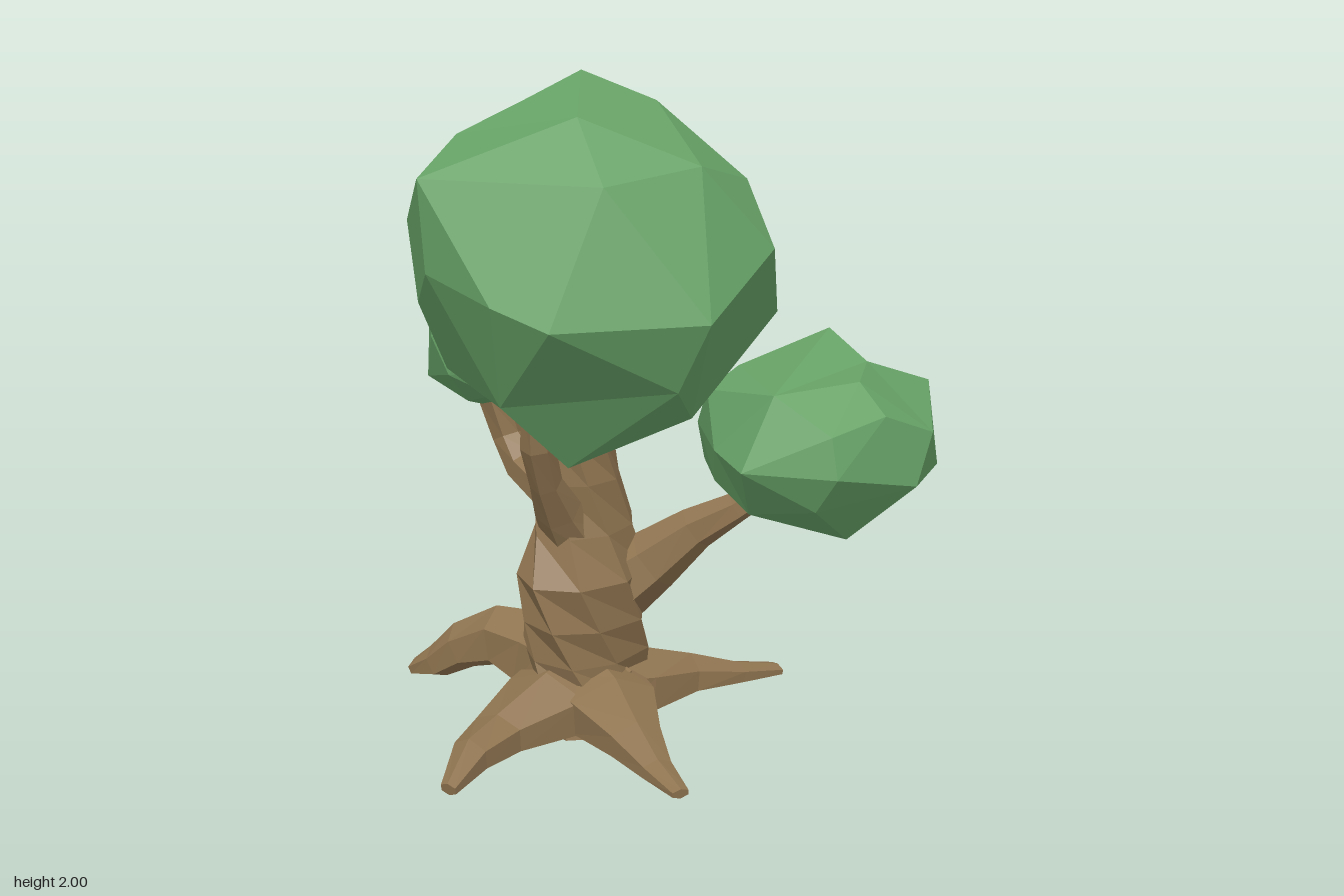
import * as THREE from 'three';
import { ConvexGeometry } from 'three/addons/geometries/ConvexGeometry.js';

const bark = new THREE.MeshStandardMaterial({ color: 0x8f7450, flatShading: true });
const leaf = new THREE.MeshStandardMaterial({ color: 0x67a267, flatShading: true });

function seeded(seed) {
  let s = seed * 7919 + 17;
  return () => (s = (s * 16807) % 2147483647) / 2147483647;
}

// Faceted limb through stations [x, y, z, half width, half height]
function limb(name, stations, sides, twist, rough, seed) {
  const rnd = seeded(seed);
  const centres = stations.map(([x, y, z]) => new THREE.Vector3(x, y, z));
  const last = centres.length - 1;
  const side = centres[last].clone().sub(centres[0]);
  if (Math.hypot(side.x, side.z) < 0.2) side.set(1, 0, 0);
  else side.cross(new THREE.Vector3(0, 1, 0)).normalize();
  const pos = [], index = [];
  centres.forEach((c, i) => {
    const t = centres[Math.min(i + 1, last)].clone().sub(centres[Math.max(i - 1, 0)]).normalize();
    const n = side.clone().cross(t).normalize();
    const [, , , w, h] = stations[i];
    for (let j = 0; j < sides; j++) {
      const a = ((j + 0.5) / sides) * Math.PI * 2 + i * twist;
      const k = 1 + (rnd() - 0.5) * 2 * rough;
      const p = c.clone().addScaledVector(side, Math.cos(a) * w * k).addScaledVector(n, Math.sin(a) * h * k);
      pos.push(p.x, Math.max(p.y, 0.005), p.z);
    }
  });
  for (let i = 0; i < last; i++) {
    for (let j = 0; j < sides; j++) {
      const a = i * sides + j, b = i * sides + ((j + 1) % sides);
      index.push(a, b + sides, b, a, a + sides, b + sides);
    }
  }
  // End caps
  const end = last * sides;
  for (let j = 1; j < sides - 1; j++) index.push(0, j, j + 1, end, end + j + 1, end + j);
  const g = new THREE.BufferGeometry();
  g.setAttribute('position', new THREE.Float32BufferAttribute(pos, 3));
  g.setIndex(index);
  g.computeVertexNormals();
  const mesh = new THREE.Mesh(g, bark);
  mesh.name = name;
  return mesh;
}

// Faceted ball of leaves: set corners, with uneven filler points spread between them
function crown(name, centre, radii, corners, count, rough, seed) {
  const rnd = seeded(seed);
  const c = new THREE.Vector3(...centre), r = new THREE.Vector3(...radii);
  const knots = corners.map((p) => {
    const v = new THREE.Vector3(...p).sub(c).divide(r);
    return { dir: v.clone().normalize(), len: v.length() };
  });
  for (let i = 0; i < count; i++) {
    const y = 1 - (2 * i + 1) / count, a = i * 2.39996 + seed, q = Math.sqrt(1 - y * y);
    const dir = new THREE.Vector3(Math.cos(a) * q, y, Math.sin(a) * q);
    dir.add(new THREE.Vector3(rnd() - 0.5, rnd() - 0.5, rnd() - 0.5).multiplyScalar(0.2)).normalize();
    const len = 0.96 + (rnd() - 0.5) * 2 * rough;
    if (knots.every((k) => k.dir.distanceTo(dir) > 0.4)) knots.push({ dir, len });
  }
  // Join the directions on a unit ball, then push each one out to its length
  const g = new ConvexGeometry(knots.map((k) => k.dir));
  const p = g.attributes.position, v = new THREE.Vector3();
  for (let i = 0; i < p.count; i++) {
    v.fromBufferAttribute(p, i);
    const k = knots.find((n) => n.dir.distanceTo(v) < 1e-4);
    v.multiplyScalar(k.len).multiply(r).add(c);
    p.setXYZ(i, v.x, v.y, v.z);
  }
  g.computeVertexNormals();
  const mesh = new THREE.Mesh(g, leaf);
  mesh.name = name;
  return mesh;
}

export function createModel() {
  const tree = new THREE.Group();
  tree.name = 'tree';

  // Twisted trunk
  tree.add(limb('trunk', [
    [-0.03, 0, -0.18, 0.17, 0.18], [-0.02, 0.12, -0.18, 0.2, 0.19], [-0.02, 0.24, -0.18, 0.21, 0.18],
    [-0.03, 0.36, -0.17, 0.22, 0.175], [-0.04, 0.5, -0.17, 0.22, 0.18], [-0.02, 0.64, -0.17, 0.18, 0.15],
    [-0.04, 0.8, -0.18, 0.14, 0.13], [-0.06, 0.95, -0.18, 0.12, 0.12], [-0.08, 1.1, -0.18, 0.12, 0.12],
  ], 8, 0.3, 0.08, 3));

  // Roots, broad where they meet the trunk
  const roots = {
    rightRoot: [[0, 0.12, -0.17, 0.18, 0.14], [-0.2, 0.1, -0.17, 0.16, 0.115],
      [-0.4, 0.075, -0.2, 0.09, 0.07], [-0.55, 0.07, -0.18, 0.065, 0.055], [-0.71, 0.04, -0.125, 0.03, 0.02]],
    leftRoot: [[-0.04, 0.12, -0.16, 0.18, 0.14], [0.13, 0.1, -0.09, 0.15, 0.105],
      [0.3, 0.08, -0.01, 0.08, 0.065], [0.45, 0.055, 0.075, 0.055, 0.035], [0.58, 0.04, 0.14, 0.04, 0.015]],
    frontRoot: [[-0.03, 0.12, -0.18, 0.18, 0.14], [-0.1, 0.1, 0, 0.16, 0.11],
      [-0.2, 0.08, 0.16, 0.09, 0.065], [-0.27, 0.055, 0.29, 0.055, 0.035], [-0.33, 0.04, 0.42, 0.03, 0.015]],
    backRoot: [[-0.03, 0.16, -0.2, 0.17, 0.16], [-0.04, 0.19, -0.36, 0.13, 0.13],
      [-0.06, 0.21, -0.48, 0.1, 0.1], [-0.1, 0.16, -0.6, 0.08, 0.075], [-0.12, 0.09, -0.69, 0.065, 0.055],
      [-0.13, 0.055, -0.775, 0.055, 0.025]],
  };
  Object.entries(roots).forEach(([name, s], i) => tree.add(limb(name, s, 6, 0, 0.05, 11 + i)));

  // Branches
  const branches = {
    frontBranch: [[0.03, 0.43, -0.12, 0.13, 0.13], [0.09, 0.53, 0, 0.09, 0.1],
      [0.15, 0.64, 0.12, 0.065, 0.065], [0.2, 0.72, 0.24, 0.05, 0.045], [0.26, 0.82, 0.36, 0.04, 0.04]],
    backBranch: [[-0.02, 0.66, -0.17, 0.1, 0.1], [0.01, 0.7, -0.32, 0.07, 0.065],
      [0.05, 0.75, -0.47, 0.06, 0.06], [0.06, 0.83, -0.535, 0.05, 0.05], [0.04, 0.95, -0.57, 0.05, 0.06],
      [0.04, 1.08, -0.57, 0.04, 0.04]],
    rightBranch: [[-0.06, 0.6, -0.17, 0.1, 0.1], [-0.17, 0.73, -0.15, 0.07, 0.07],
      [-0.25, 0.84, -0.13, 0.05, 0.05], [-0.31, 0.97, -0.11, 0.05, 0.05], [-0.33, 1.12, -0.1, 0.04, 0.04]],
  };
  Object.entries(branches).forEach(([name, s], i) => tree.add(limb(name, s, 6, 0, 0.05, 21 + i)));

  // Leaf crowns
  tree.add(
    crown('mainCrown', [-0.08, 1.46, -0.1], [0.53, 0.54, 0.55], [
      [0.04, 2, -0.22], [-0.55, 1.76, -0.33], [-0.6, 1.45, -0.03], [-0.57, 1.4, 0.15], [-0.24, 1.55, -0.66],
      [0.23, 1.55, -0.55], [0.41, 1.69, -0.1], [0.44, 1.45, 0.1], [-0.27, 0.91, -0.03], [-0.23, 1.4, 0.44],
      [0.1, 1.55, 0.42], [-0.28, 1.93, 0.02], [0.13, 1.9, -0.42], [-0.1, 0.98, -0.27], [0.35, 1.22, -0.3],
      [-0.46, 1.12, -0.12], [0.33, 1.3, 0.28], [-0.1, 1.8, 0.31],
    ], 46, 0.04, 2),
    crown('frontCrown', [0.3, 0.96, 0.45], [0.41, 0.27, 0.35], [
      [0.46, 1.24, 0.38], [0.71, 0.92, 0.45], [0.36, 1.02, 0.8], [0.64, 1.08, 0.62], [0.67, 0.8, 0.27],
      [0.46, 0.68, 0.47], [0.2, 0.7, 0.62], [0.18, 1.1, 0.75], [0, 0.95, 0.71], [-0.11, 0.95, 0.46],
      [0.02, 1.15, 0.48], [0.45, 0.9, 0.12], [0.22, 0.84, 0.1], [0.02, 0.78, 0.4], [0.25, 1.14, 0.2],
      [0.57, 0.85, 0.7], [0.65, 1.1, 0.28],
    ], 44, 0.1, 5),
    crown('backCrown', [0.08, 1.17, -0.56], [0.25, 0.27, 0.24], [
      [0.1, 1.45, -0.58], [0, 1.2, -0.8], [0.15, 1.06, -0.8], [0.31, 1.22, -0.69], [0.33, 1.1, -0.5],
      [0.1, 0.9, -0.57], [0.12, 1.36, -0.71], [-0.17, 1.18, -0.64], [-0.08, 1.02, -0.74], [0.2, 0.95, -0.4],
      [0.2, 1.38, -0.46],
    ], 42, 0.08, 9),
  );
  return tree;
}
